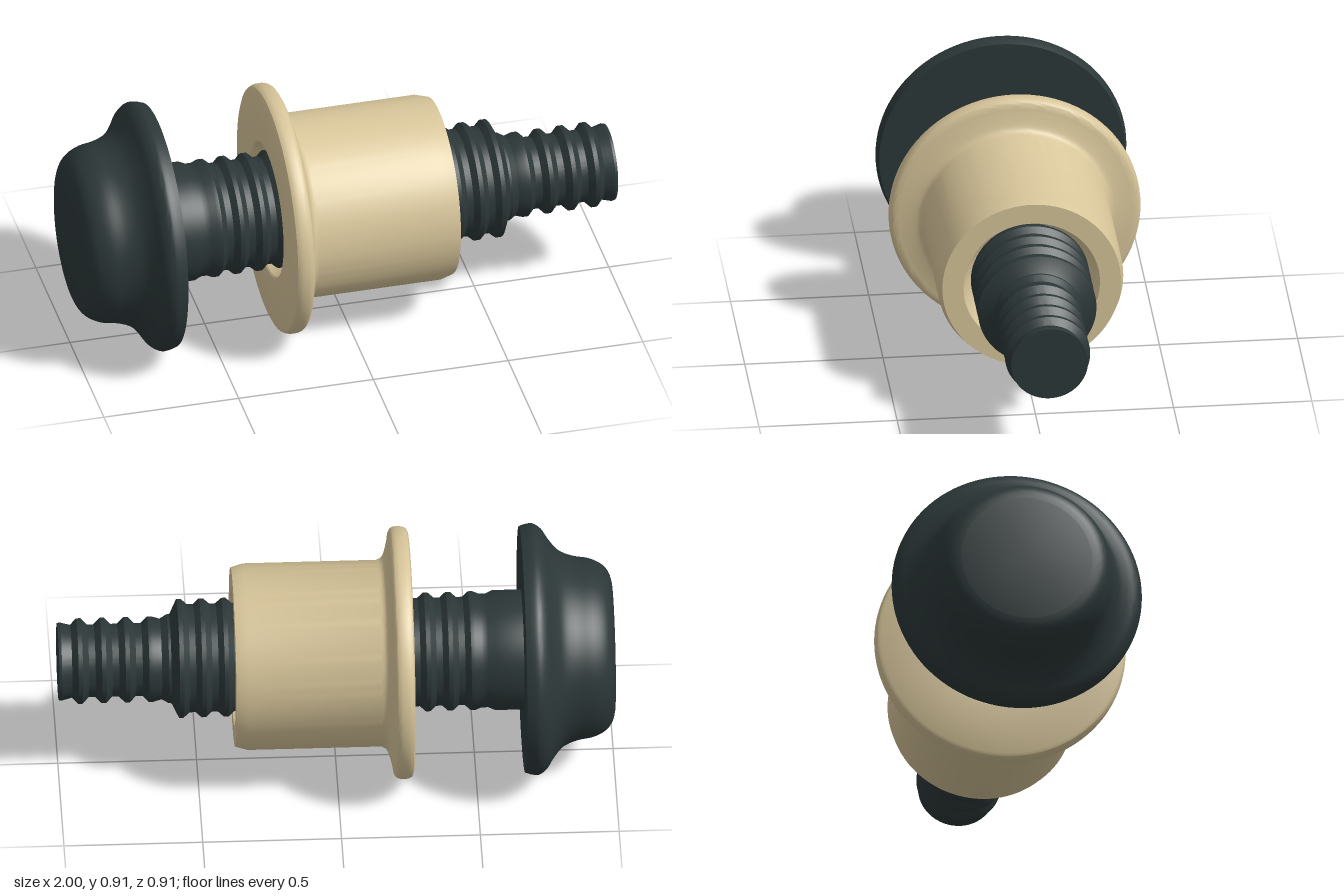
import * as THREE from 'three';
import { toCreasedNormals } from 'three/addons/utils/BufferGeometryUtils.js';

const AXIS_Y = 0.455;
const SEGMENTS = 96;

// Turns a profile of [x, radius] points around the long axis of the fastener
function turned(name, profile, material, crease = 0.45) {
  const points = profile.map(([x, r]) => new THREE.Vector2(r, x));
  const geometry = toCreasedNormals(new THREE.LatheGeometry(points, SEGMENTS), crease);
  geometry.rotateZ(-Math.PI / 2);
  const mesh = new THREE.Mesh(geometry, material);
  mesh.name = name;
  mesh.position.y = AXIS_Y;
  return mesh;
}

// Smooths a run of [x, radius] points
function smooth(points, count) {
  const curve = new THREE.SplineCurve(points.map(([x, r]) => new THREE.Vector2(x, r)));
  return curve.getPoints(count).map((p) => [p.x, p.y]);
}

// Ring grooves: a narrow flat crest at each pitch with a rounded valley between
function grooves(firstCrest, pitch, count, crest, valley) {
  const points = [];
  for (let i = 0; i < count; i++) {
    const x = firstCrest + i * pitch;
    points.push([x - 0.008, crest], [x + 0.008, crest]);
    if (i < count - 1) {
      points.push([x + pitch * 0.36, valley], [x + pitch * 0.64, valley]);
    }
  }
  return points;
}

export function createModel() {
  const group = new THREE.Group();
  group.name = 'lockboltAndCollar';

  const darkSteel = new THREE.MeshStandardMaterial({ color: 0x2c3738 });
  darkSteel.name = 'dark steel';
  const paleBrass = new THREE.MeshStandardMaterial({ color: 0xd6c499 });
  paleBrass.name = 'pale brass';

  // Domed head with a flared rim and a flat underside
  group.add(turned('head', [
    [-1, 0],
    ...smooth([
      [-1, 0.235], [-0.99, 0.27], [-0.965, 0.3], [-0.92, 0.322], [-0.86, 0.333],
      [-0.81, 0.355], [-0.775, 0.395], [-0.75, 0.433], [-0.72, 0.453], [-0.69, 0.45],
    ], 36),
    [-0.672, 0.444], [-0.672, 0],
  ], darkSteel));

  // Plain shank, locking grooves, then a step down to the pull tail
  group.add(turned('shank', [
    [-0.672, 0], [-0.672, 0.216], [-0.57, 0.216], [-0.545, 0.205], [-0.52, 0.205],
    ...grooves(-0.49, 0.0808, 14, 0.214, 0.195),
    [0.592, 0.165], [0.605, 0.15], [0.605, 0],
  ], darkSteel));

  group.add(turned('pullTail', [
    [0.59, 0], [0.59, 0.16], [0.605, 0.16], [0.63, 0.145],
    ...grooves(0.668, 0.085, 4, 0.154, 0.131),
    [0.953, 0.131], [0.99, 0.141], [1, 0.139], [1, 0],
  ], darkSteel));

  // Flanged collar with a countersunk bore
  group.add(turned('collar', [
    [-0.265, 0.245], [-0.27, 0.25], [-0.27, 0.436],
    ...smooth([[-0.265, 0.447], [-0.25, 0.454], [-0.225, 0.455], [-0.208, 0.449], [-0.2, 0.436]], 10),
    ...smooth([[-0.198, 0.42], [-0.187, 0.375], [-0.175, 0.347], [-0.155, 0.336]], 10),
    [0.325, 0.336], [0.37, 0.323],
    [0.37, 0.247], [0.325, 0.232], [0.3, 0.211],
    [-0.2, 0.211], [-0.235, 0.235], [-0.265, 0.245],
  ], paleBrass));

  return group;
}
